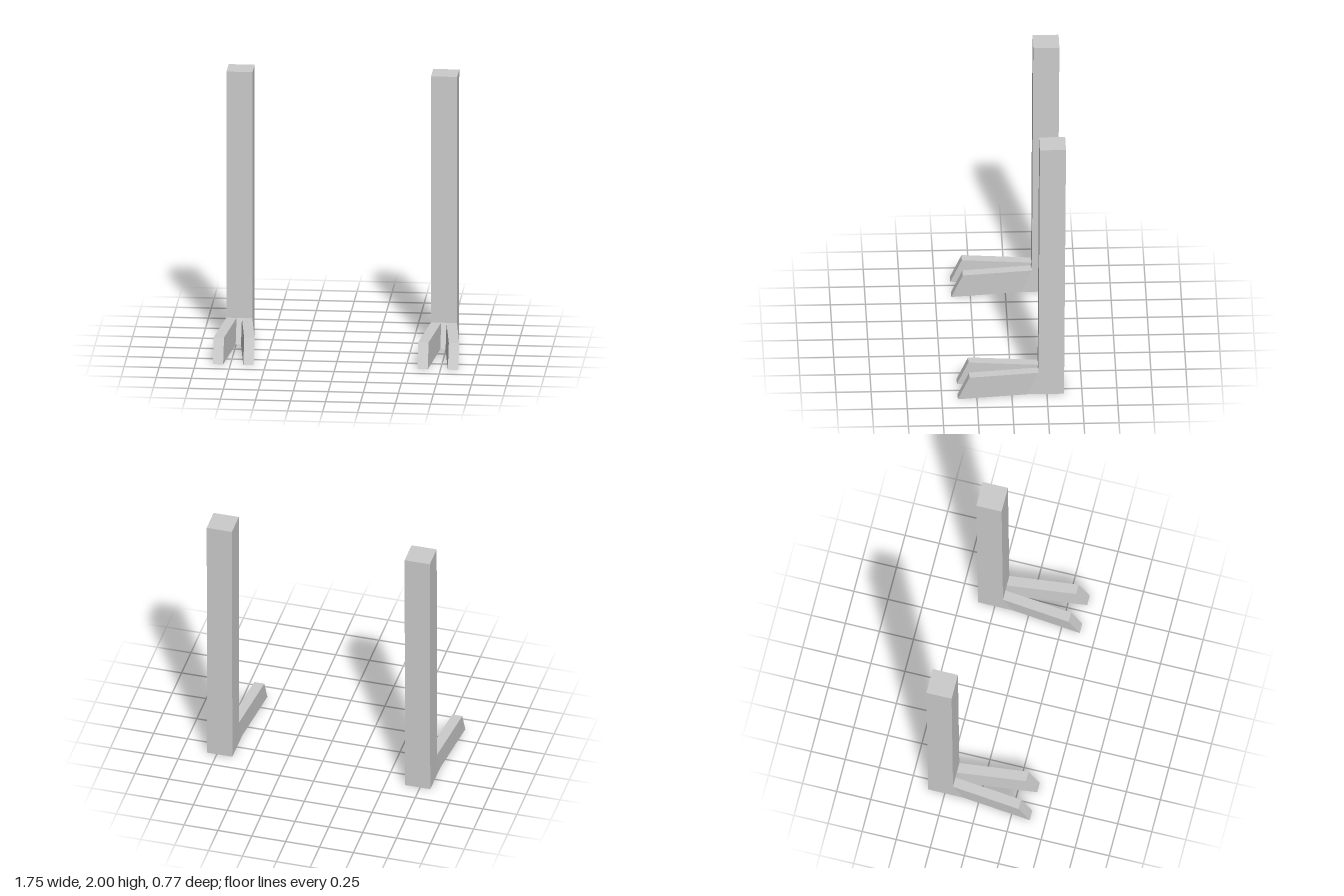
import * as THREE from 'three';

const material = new THREE.MeshStandardMaterial({ color: 0xcccccc, flatShading: true });

// Skin a list of four-cornered rings (counterclockwise seen from the far end).
function loft(rings, capStart) {
  const pos = [];
  const quad = (a, b, c, d) => pos.push(...a, ...b, ...c, ...a, ...c, ...d);
  for (let k = 0; k < rings.length - 1; k++) {
    const r = rings[k], n = rings[k + 1];
    for (let i = 0; i < 4; i++) {
      const j = (i + 1) % 4;
      quad(r[i], r[j], n[j], n[i]);
    }
  }
  quad(...rings[rings.length - 1]);
  if (capStart) quad(...[...rings[0]].reverse());
  const geometry = new THREE.BufferGeometry();
  geometry.setAttribute('position', new THREE.Float32BufferAttribute(pos, 3));
  geometry.computeVertexNormals();
  return geometry;
}

const TOE_HEIGHT = 0.175;

// Horizontal section of the shank
const shankRing = (y, front, back) => [
  [-0.093, y, front], [0.093, y, front], [0.093, y, back], [-0.093, y, back],
];

// Slanted section of a toe: its top edge sits further back than its bottom edge
const toeRing = (x0, x1, zBottom, zTop) => [
  [x0, 0, zBottom], [x1, 0, zBottom], [x1, TOE_HEIGHT, zTop], [x0, TOE_HEIGHT, zTop],
];

function addMesh(group, name, geometry) {
  const mesh = new THREE.Mesh(geometry, material);
  mesh.name = name;
  group.add(mesh);
}

function createLeg(name) {
  const leg = new THREE.Group();
  leg.name = name;

  // Tall square shank with a sloping front at the foot
  addMesh(leg, 'shank', loft([
    shankRing(0, -0.11, -0.372),
    shankRing(TOE_HEIGHT, -0.19, -0.373),
    shankRing(2, -0.2, -0.386),
  ], true));

  // Two splayed toes
  addMesh(leg, 'rightToe', loft([
    toeRing(-0.093, -0.02, -0.11, -0.19),
    toeRing(-0.143, -0.069, 0.386, 0.304),
  ], false));
  addMesh(leg, 'leftToe', loft([
    toeRing(0.018, 0.093, -0.11, -0.19),
    toeRing(0.075, 0.149, 0.386, 0.304),
  ], false));
  return leg;
}

export function createModel() {
  const model = new THREE.Group();
  model.name = 'legs';
  // Both legs are the same shape, set side by side
  for (const [name, x] of [['rightLeg', -0.733], ['leftLeg', 0.728]]) {
    const leg = createLeg(name);
    leg.position.x = x;
    model.add(leg);
  }
  return model;
}
